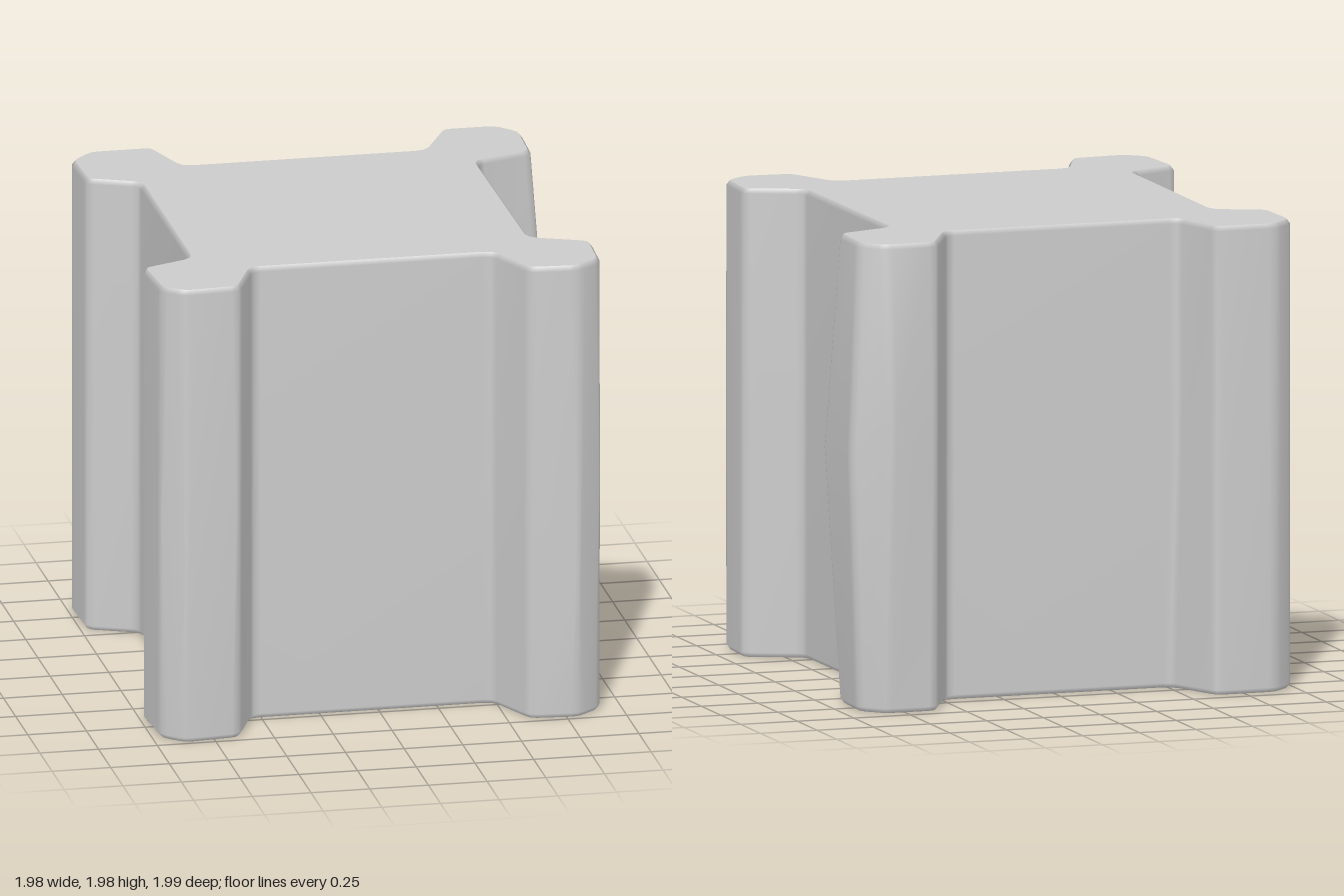
import * as THREE from 'three';

// Plan outline (x, z): a square core with a splayed post at each corner
const OUTLINE = [
  [-0.99, -0.84], [-0.89, -0.94], [-0.62, -0.94], [-0.54, -0.68],   // back right post
  [0.48, -0.68], [0.61, -0.94], [0.84, -0.94], [0.93, -0.84], [0.92, -0.57], [0.67, -0.48], // back left post
  [0.68, 0.55], [0.92, 0.65], [0.91, 0.90], [0.80, 0.985], [0.59, 0.97], [0.48, 0.73],  // front left post
  [-0.54, 0.73], [-0.64, 0.97], [-0.88, 0.985], [-0.97, 0.91], [-0.99, 0.63], [-0.77, 0.54], // front right post
  [-0.77, -0.48], [-0.98, -0.57],
];
// Corners that move away from the plain outline: index -> [x, z, y]
const MID = {
  6: [0.83, -1.0, 1.25], 7: [0.99, -0.92, 1.1], 8: [0.99, -0.57, 1.08],
  13: [0.80, 0.995, 0.6], 18: [-0.88, 1.0, 0.6],
};
const LOW = { 3: [-0.51, -0.68], 13: [0.80, 0.99], 18: [-0.88, 0.995], 21: [-0.77, 0.52] };

const HEIGHT = 1.98, BEVEL = 0.02, SOFTEN = 0.035;

// One cross-section with each corner slightly rounded
function makeRing(y, moved = {}) {
  const pts = OUTLINE.map((p, i) => {
    const m = moved[i] || p;
    return new THREE.Vector3(m[0], m[2] ?? y, m[1]);
  });
  const n = pts.length;
  return pts.flatMap((p, i) => {
    const toward = (q) => p.clone().add(q.clone().sub(p).setLength(SOFTEN));
    const a = toward(pts[(i + n - 1) % n]);
    const b = toward(pts[(i + 1) % n]);
    return new THREE.QuadraticBezierCurve3(a, p, b).getPoints(2);
  });
}

// Shrinks a ring inwards and sets it at height y, for the bevelled rims
function insetRing(ring, amount, y) {
  const n = ring.length;
  return ring.map((p, i) => {
    const t = ring[(i + 1) % n].clone().sub(ring[(i + n - 1) % n]).setY(0).normalize();
    return new THREE.Vector3(p.x - t.z * amount, y, p.z + t.x * amount);
  });
}

function toGeometry(points, index) {
  const geo = new THREE.BufferGeometry().setFromPoints(points);
  geo.setIndex(index);
  geo.computeVertexNormals();
  return geo;
}

// Skin between successive rings
function loft(rings) {
  const n = rings[0].length, index = [];
  for (let r = 0; r < rings.length - 1; r++) {
    for (let j = 0; j < n; j++) {
      const a = r * n + j, b = r * n + (j + 1) % n;
      index.push(a, a + n, b, b, a + n, b + n);
    }
  }
  return toGeometry(rings.flat(), index);
}

// Flat end face
function cap(ring, up) {
  const tris = THREE.ShapeUtils.triangulateShape(ring.map((p) => new THREE.Vector2(p.x, p.z)), []);
  return toGeometry(ring, tris.flatMap(([a, b, c]) => (up ? [a, c, b] : [a, b, c])));
}

export function createModel() {
  const group = new THREE.Group();
  group.name = 'corneredBlock';
  const material = new THREE.MeshStandardMaterial({ color: 0xcccccc });
  const add = (name, geo) => {
    const mesh = new THREE.Mesh(geo, material);
    mesh.name = name;
    group.add(mesh);
  };

  const low = makeRing(BEVEL, LOW);
  const mid = makeRing(1.0, MID);
  const high = makeRing(HEIGHT - BEVEL);
  const bottom = insetRing(low, 0.015, 0);
  const top = insetRing(high, 0.015, HEIGHT);

  add('sides', loft([bottom, low, mid, high, top]));
  add('topFace', cap(top, true));
  add('bottomFace', cap(bottom, false));
  return group;
}
